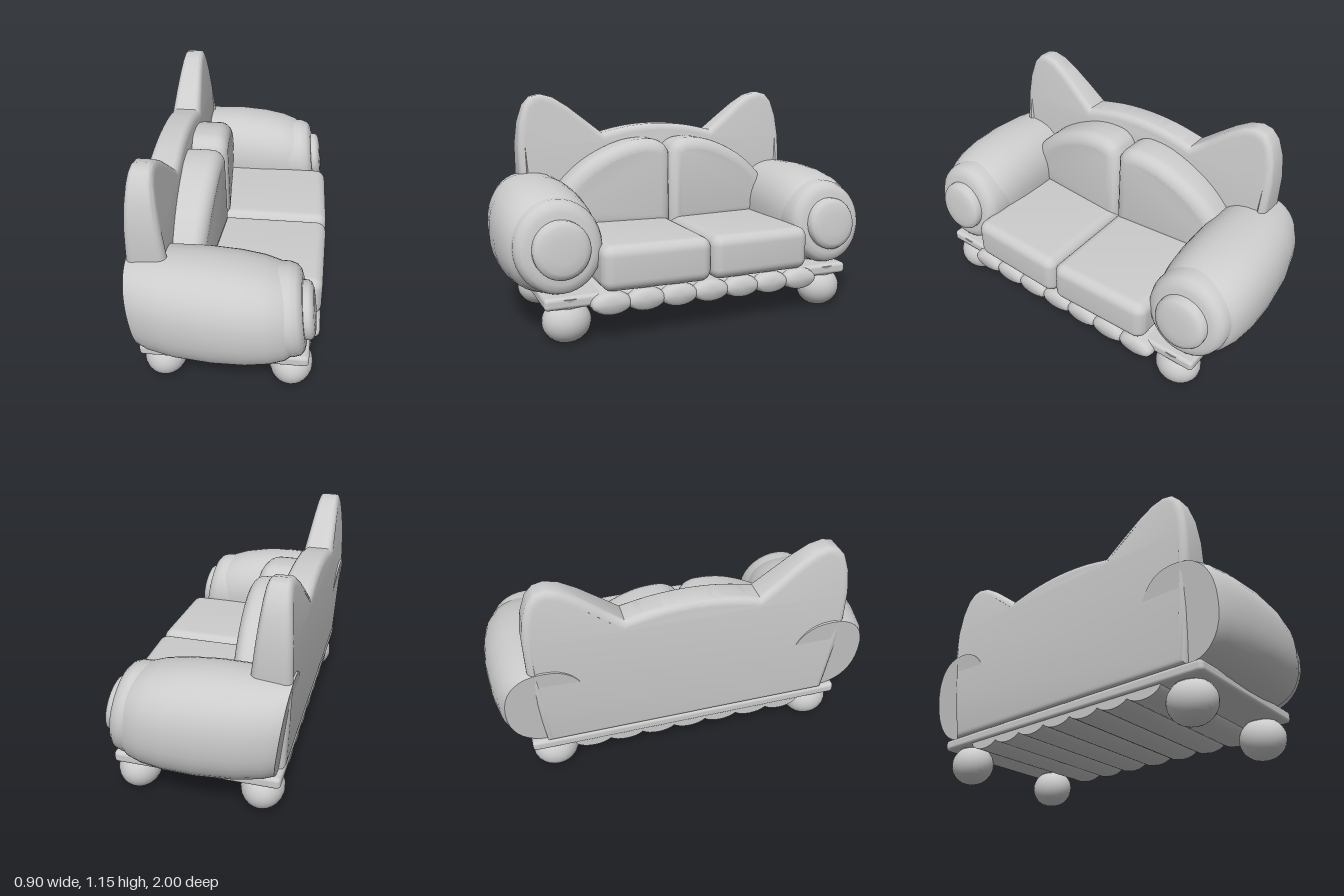
import * as THREE from 'three';
import { toCreasedNormals, mergeVertices } from 'three/addons/utils/BufferGeometryUtils.js';
import { RoundedBoxGeometry } from 'three/addons/geometries/RoundedBoxGeometry.js';

const grey = new THREE.MeshStandardMaterial({ color: 0xcccccc });
grey.name = 'grey upholstery';

function part(group, name, geometry, x = 0, y = 0, z = 0) {
  const mesh = new THREE.Mesh(geometry, grey);
  mesh.name = name;
  mesh.position.set(x, y, z);
  group.add(mesh);
  return mesh;
}

// Moves every vertex by a rule
function warp(geometry, rule) {
  const p = geometry.attributes.position;
  const v = new THREE.Vector3();
  for (let i = 0; i < p.count; i++) {
    rule(v.fromBufferAttribute(p, i));
    p.setXYZ(i, v.x, v.y, v.z);
  }
  return geometry;
}

// Closed loft along x; each station is [x, centre z, centre y, half width, half height]
function loft(stations, power = 2, lean = 0, n = 36) {
  const pos = [], idx = [];
  const lean1 = (x, y) => x + lean * (0.7 - y);
  const curve = (t) => Math.sign(t) * Math.abs(t) ** (2 / power);
  for (const [x, cz, cy, rz, ry] of stations) {
    for (let i = 0; i < n; i++) {
      const a = (i / n) * Math.PI * 2;
      const y = cy + ry * curve(Math.sin(a));
      pos.push(lean1(x, y), y, cz + rz * curve(Math.cos(a)));
    }
  }
  const m = stations.length;
  for (let s = 0; s < m - 1; s++) {
    for (let i = 0; i < n; i++) {
      const a = s * n + i, b = s * n + (i + 1) % n;
      idx.push(a, a + n, b + n, a, b + n, b);
    }
  }
  for (const s of [0, m - 1]) {
    const c = pos.length / 3, [x, cz, cy] = stations[s];
    pos.push(lean1(x, cy), cy, cz);
    for (let i = 0; i < n; i++) {
      const a = s * n + i, b = s * n + (i + 1) % n;
      idx.push(c, s ? b : a, s ? a : b);
    }
  }
  const g = new THREE.BufferGeometry();
  g.setAttribute('position', new THREE.Float32BufferAttribute(pos, 3));
  g.setIndex(idx);
  return toCreasedNormals(g, 0.8);
}

// Outline in (z, y), thickened along x with rounded edges; x then runs 0..1
function slab(shape, round, thickness) {
  const g = new THREE.ExtrudeGeometry(shape, {
    depth: thickness - 2 * round, bevelThickness: round, bevelSize: round,
    bevelOffset: -round, bevelSegments: 5, curveSegments: 10,
  });
  g.translate(0, 0, round).rotateY(Math.PI / 2).scale(1 / thickness, 1, 1);
  return g;
}

function finish(g) {
  g.deleteAttribute('uv');
  g.deleteAttribute('normal');
  return toCreasedNormals(mergeVertices(g, 1e-4), 0.75);
}

export function createModel() {
  const sofa = new THREE.Group();
  sofa.name = 'sofa';

  // Backrest with two pointed ears
  const V = (x, y) => new THREE.Vector2(x, y);
  const ear = [[0.8, 0.72], [0.8, 0.88], [0.785, 1.0], [0.755, 1.09], [0.715, 1.135],
    [0.665, 1.147], [0.6, 1.13], [0.52, 1.08], [0.43, 1.01], [0.33, 0.93]];
  const back = new THREE.Shape();
  back.moveTo(-0.75, 0.23);
  back.lineTo(0.75, 0.23);
  back.lineTo(0.78, 0.5);
  ear.forEach(([z, y]) => back.lineTo(z, y));
  back.splineThru([V(0.17, 0.963), V(0, 0.975), V(-0.17, 0.963), V(-0.33, 0.93)]);
  ear.slice(0, -1).reverse().forEach(([z, y]) => back.lineTo(-z, y));
  back.lineTo(-0.78, 0.5);
  const backGeo = warp(slab(back, 0.035, 0.18), (v) => {
    const up = Math.max(0, v.y - 0.72);
    const rear = -0.45 + 0.17 * up * up + 0.05 * Math.max(0, 0.72 - v.y);
    const front = -0.263 - 0.12 * up;
    v.x = rear + v.x * (front - rear);
  });
  part(sofa, 'backrest with ears', finish(backGeo));

  for (const s of [1, -1]) {
    const side = s > 0 ? 'left' : 'right';

    // Back cushion with a sloping shoulder
    const pad = new THREE.Shape();
    pad.moveTo(0, 0.42);
    pad.lineTo(0, 0.83);
    pad.splineThru([V(-s * 0.03, 0.875), V(-s * 0.1, 0.902), V(-s * 0.24, 0.89),
      V(-s * 0.4, 0.825), V(-s * 0.53, 0.735), V(-s * 0.63, 0.62), V(-s * 0.65, 0.52)]);
    pad.lineTo(-s * 0.6, 0.42);
    const padGeo = warp(slab(pad, 0.065, 0.24), (v) => {
      v.x = -0.33 + v.x * (0.245 - 0.13 * v.z * v.z - 0.05 * Math.max(0, v.y - 0.6));
    });
    part(sofa, side + ' back cushion', finish(padGeo));

    // Seat cushion
    part(sofa, side + ' seat cushion', finish(warp(
      new RoundedBoxGeometry(0.7, 0.225, 0.56, 5, 0.055),
      (v) => { if (v.x > 0) v.x -= 0.05 * Math.max(0, s * v.z); },
    )), 0.1, 0.353, s * 0.281);

    // Swollen arm body
    part(sofa, side + ' arm', loft([
      [-0.45, s * 0.73, 0.475, 0.2, 0.24],
      [-0.4, s * 0.74, 0.473, 0.215, 0.25],
      [-0.28, s * 0.75, 0.47, 0.232, 0.262],
      [-0.1, s * 0.755, 0.468, 0.245, 0.266],
      [0.05, s * 0.755, 0.464, 0.244, 0.258],
      [0.16, s * 0.752, 0.46, 0.232, 0.242],
      [0.23, s * 0.748, 0.456, 0.212, 0.222],
      [0.28, s * 0.742, 0.455, 0.18, 0.19],
    ], 2.3, 0.12));

    // Rolled arm front
    part(sofa, side + ' arm roll', loft([
      [-0.2, s * 0.737, 0.458, 0.21, 0.215],
      [0.2, s * 0.737, 0.458, 0.213, 0.222],
      [0.27, s * 0.737, 0.458, 0.213, 0.222],
      [0.302, s * 0.737, 0.458, 0.202, 0.212],
      [0.32, s * 0.737, 0.458, 0.182, 0.192],
      [0.327, s * 0.737, 0.458, 0.155, 0.165],
    ], 2, 0.12));

    // Round button on the arm front
    part(sofa, side + ' arm button', loft([
      [0.29, s * 0.737, 0.458, 0.137, 0.137],
      [0.35, s * 0.737, 0.458, 0.137, 0.137],
      [0.364, s * 0.737, 0.458, 0.128, 0.128],
      [0.373, s * 0.737, 0.458, 0.105, 0.105],
      [0.377, s * 0.737, 0.458, 0.06, 0.06],
    ], 2, 0.12));

    // Ball feet with short necks, flattened on the floor
    for (const [end, x] of [['front', 0.305], ['rear', -0.315]]) {
      const ball = warp(new THREE.SphereGeometry(0.106, 24, 18).scale(1, 1, 1.12),
        (v) => { v.y = Math.max(v.y, -0.098); });
      part(sofa, `${end} ${side} foot`, ball, x, 0.098, s * 0.71);
      part(sofa, `${end} ${side} foot neck`,
        new THREE.CylinderGeometry(0.09, 0.07, 0.06, 24), x, 0.195, s * 0.71);
    }
  }

  // Base board
  part(sofa, 'base board', new RoundedBoxGeometry(0.81, 0.06, 1.66, 3, 0.02), -0.015, 0.207, 0);

  // Scalloped ridges under the seat
  for (let i = -3; i <= 3; i++) {
    const z = i * 0.172;
    part(sofa, 'skirt scallop', loft([
      [-0.41, z, 0.187, 0.1, 0.056],
      [0.4, z, 0.187, 0.1, 0.056],
      [0.425, z, 0.187, 0.094, 0.051],
      [0.438, z, 0.187, 0.075, 0.035],
    ], 2, 0, 24));
  }

  return sofa;
}
